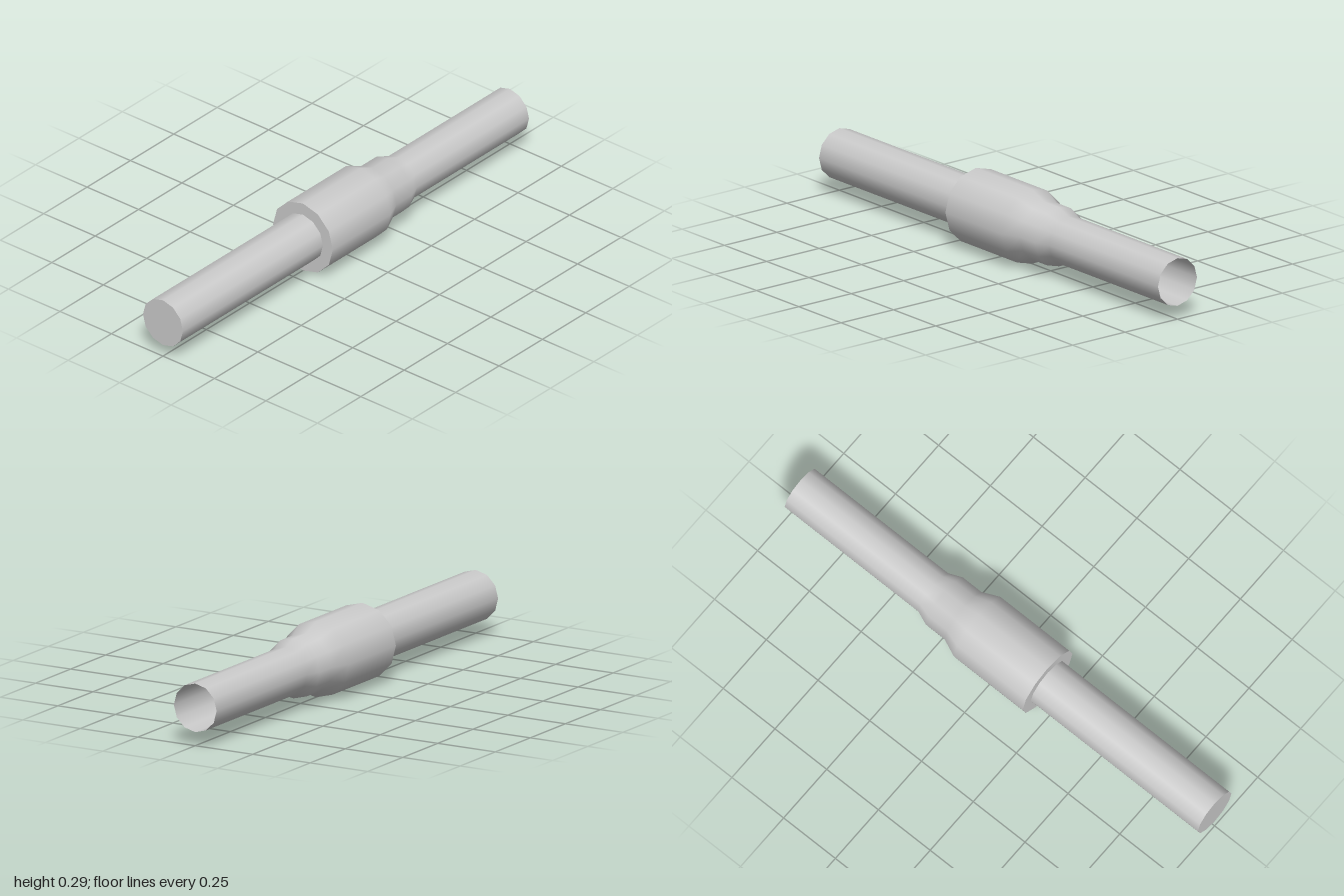
import * as THREE from 'three';

const SIDES = 12;
const AXIS_HEIGHT = 0.145;

export function createModel() {
  const group = new THREE.Group();
  group.name = 'steppedTube';
  const material = new THREE.MeshStandardMaterial({ color: 0xcccccc, side: THREE.DoubleSide });

  // Turns a profile of [radius, z] pairs, listed from back to front, about the z axis
  function turned(name, profile) {
    const points = profile.map(([r, z]) => new THREE.Vector2(r, z));
    const geometry = new THREE.LatheGeometry(points, SIDES).rotateX(Math.PI / 2);
    const mesh = new THREE.Mesh(geometry, material);
    mesh.name = name;
    mesh.position.y = AXIS_HEIGHT;
    group.add(mesh);
  }

  // Rear pipe, open at the back, flaring in two steps into the sleeve
  turned('rearPipeAndSleeve', [
    [0.093, -1], [0.093, -0.355],
    [0.115, -0.3], [0.115, -0.21],
    [0.145, -0.14], [0.145, 0.193],
  ]);

  // Flat front shoulder of the sleeve
  turned('sleeveShoulder', [[0.145, 0.193], [0.097, 0.193]]);

  // Front pipe with its closed end
  turned('frontPipe', [[0.097, 0.193], [0.097, 1]]);
  turned('frontCap', [[0.097, 1], [0, 1]]);

  return group;
}
